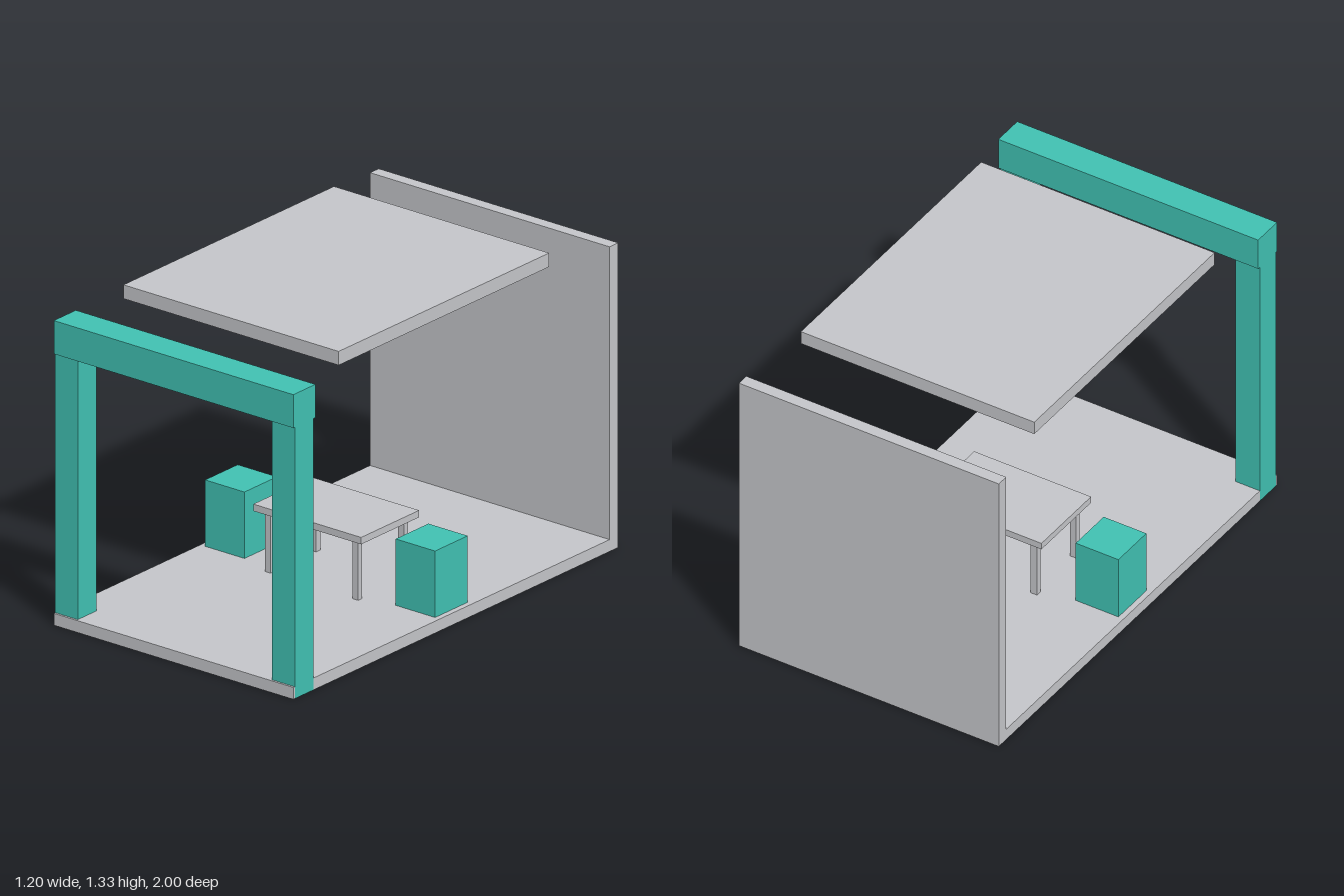
import * as THREE from 'three';

const grey = new THREE.MeshStandardMaterial({ name: 'light grey', color: 0xc5c6ca });
const teal = new THREE.MeshStandardMaterial({ name: 'teal', color: 0x41c2b3 });

// Box given by its extents along each axis
function box(name, material, [x0, x1], [y0, y1], [z0, z1]) {
  const mesh = new THREE.Mesh(new THREE.BoxGeometry(x1 - x0, y1 - y0, z1 - z0), material);
  mesh.position.set((x0 + x1) / 2, (y0 + y1) / 2, (z0 + z1) / 2);
  mesh.name = name;
  return mesh;
}

// Extents along x, mirrored for the right side (side = -1)
const mirrored = (side, a, b) => (side > 0 ? [a, b] : [-b, -a]);

export function createModel() {
  const group = new THREE.Group();
  group.name = 'pavilion';
  const floorTop = 0.05, w = 0.6, postIn = 0.487, postZ = [0.876, 0.991];

  // Floor slab, notched where the posts pass through it (shape y is -z)
  const half = [[w, 1], [w, -postZ[0]], [postIn, -postZ[0]], [postIn, -postZ[1]], [w, -postZ[1]], [w, -1]];
  const outline = [...half.map(([x, y]) => [-x, y]), ...half.slice().reverse()];
  const floorShape = new THREE.Shape(outline.map(([x, y]) => new THREE.Vector2(x, y)));
  const floorGeometry = new THREE.ExtrudeGeometry(floorShape, { depth: floorTop, bevelEnabled: false });
  const floor = new THREE.Mesh(floorGeometry.rotateX(-Math.PI / 2), grey);
  floor.name = 'floor';
  group.add(floor);

  // Back wall and floating roof panel
  group.add(box('backWall', grey, [-w, w], [floorTop, 1.28], [-1, -0.947]));
  group.add(box('roofPanel', grey, [-0.539, 0.539], [1.275, 1.333], [-0.65, 0.646]));

  // Front portal beam
  group.add(box('portalBeam', teal, [-w, w], [1.14, 1.28], [0.864, 1]));

  // Table top
  group.add(box('tableTop', grey, [-0.27, 0.27], [0.303, 0.332], [-0.18, 0.177]));

  for (const side of [1, -1]) {
    const label = side > 0 ? 'left' : 'right';
    group.add(box(label + 'Post', teal, mirrored(side, postIn, w), [0, 1.14], postZ));
    group.add(box(label + 'Seat', teal, mirrored(side, 0.379, 0.576), [floorTop, 0.329], [-0.103, 0.098]));
    // Table legs
    group.add(box(label + 'FrontTableLeg', grey, mirrored(side, 0.205, 0.234), [floorTop, 0.303], [0.126, 0.151]));
    group.add(box(label + 'BackTableLeg', grey, mirrored(side, 0.205, 0.234), [floorTop, 0.303], [-0.156, -0.13]));
  }
  return group;
}
